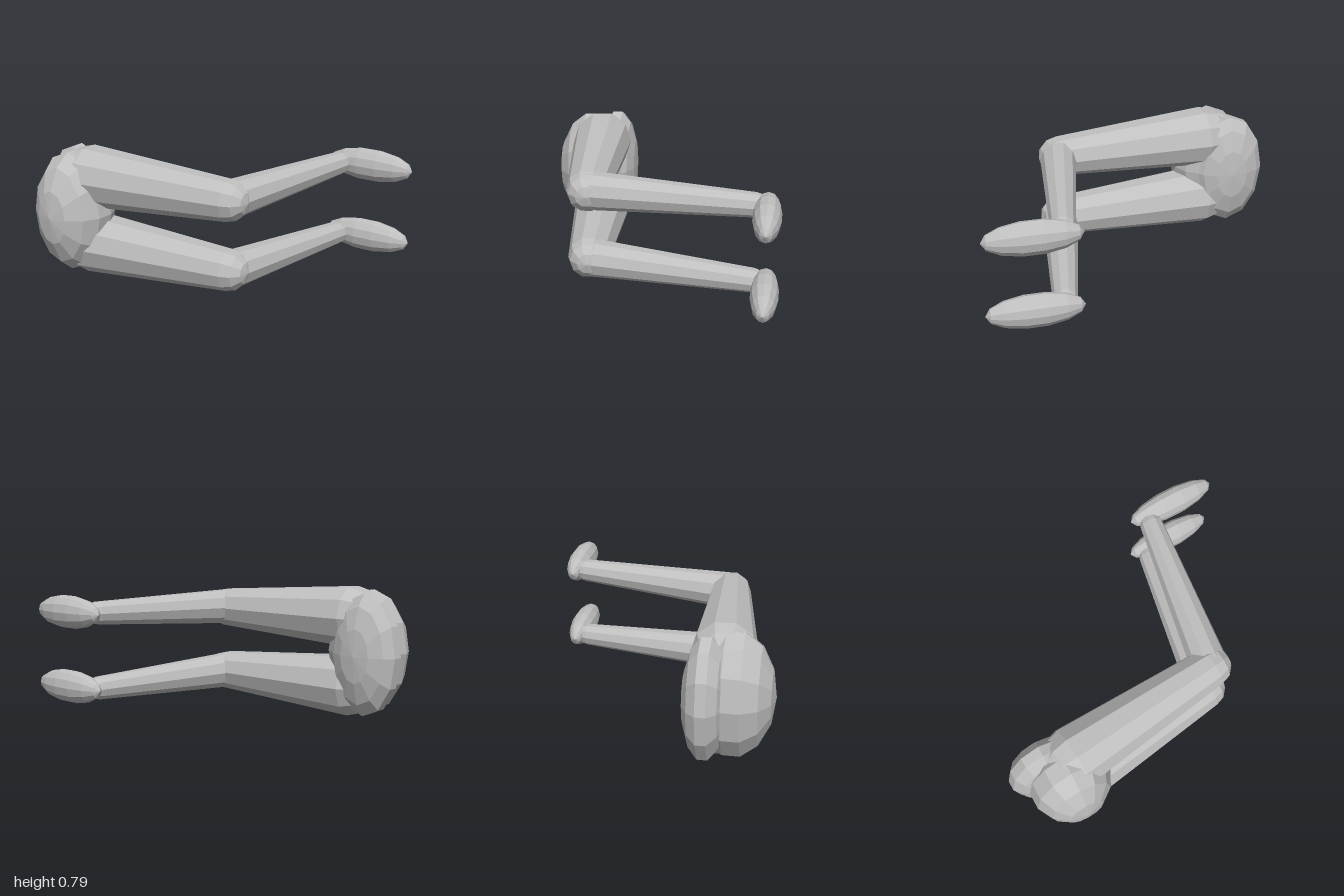
import * as THREE from 'three';

const grey = new THREE.MeshStandardMaterial({ color: 0xbfbfbf, flatShading: true });
grey.name = 'plain grey';

const MID_Y = 0.4; // the two legs mirror across this height

function addMesh(parent, name, geometry) {
  const mesh = new THREE.Mesh(geometry, grey);
  mesh.name = name;
  parent.add(mesh);
  return mesh;
}

// Low-poly ellipsoid whose poles lie along the x or z axis
function ellipsoid(axis, center, radii) {
  const geo = new THREE.SphereGeometry(1, 12, 7);
  if (axis === 'x') geo.rotateZ(-Math.PI / 2);
  else geo.rotateX(Math.PI / 2);
  return geo.scale(...radii).translate(...center);
}

// Tapered ten-sided limb with rounded ends, running from a to b
function limb(a, b, ra, rb) {
  const start = new THREE.Vector3(...a);
  const dir = new THREE.Vector3(...b).sub(start);
  const length = dir.length();
  dir.normalize();
  const profile = [];
  const steps = 3;
  for (let i = 0; i <= steps; i++) {
    const t = (i / steps) * Math.PI / 2;
    profile.push(new THREE.Vector2(ra * Math.sin(t), -ra * Math.cos(t)));
  }
  for (let i = 0; i <= steps; i++) {
    const t = (i / steps) * Math.PI / 2;
    profile.push(new THREE.Vector2(rb * Math.cos(t), length + rb * Math.sin(t)));
  }
  profile[0].x = 0;
  profile[profile.length - 1].x = 0;
  // Keep one pair of corners level so the limb has flat upper and lower sides
  const side = new THREE.Vector3().crossVectors(dir, new THREE.Vector3(0, 1, 0)).normalize();
  const up = new THREE.Vector3().crossVectors(dir, side);
  const basis = new THREE.Matrix4().makeBasis(up, dir, side).setPosition(start);
  return new THREE.LatheGeometry(profile, 10).applyMatrix4(basis);
}

// One bent leg; s is +1 for the upper leg and -1 for the lower
function makeLeg(name, s) {
  const leg = new THREE.Group();
  leg.name = name;
  const y = (offset) => MID_Y + s * offset;
  const hip = [-0.61, y(0.213), 0.46];
  const knee = [0.37, y(0.212), 0.375];
  const ankle = [0.53, y(0.233), -0.62];
  addMesh(leg, 'thigh', limb(hip, knee, 0.192, 0.125));
  addMesh(leg, 'shin', limb([0.373, y(0.215), 0.35], ankle, 0.115, 0.072));
  addMesh(leg, 'foot', ellipsoid('x', [0.71, y(0.233), -0.69], [0.287, 0.104, 0.082]));
  return leg;
}

export function createModel() {
  const model = new THREE.Group();
  model.name = 'bentLegs';

  // Hips: a full rear mass and a flatter waist
  addMesh(model, 'hips', ellipsoid('z', [-0.68, MID_Y, 0.53], [0.251, 0.385, 0.235]));
  addMesh(model, 'waist', ellipsoid('z', [-0.77, MID_Y, 0.38], [0.236, 0.38, 0.135]));

  model.add(makeLeg('upperLeg', 1), makeLeg('lowerLeg', -1));
  return model;
}
